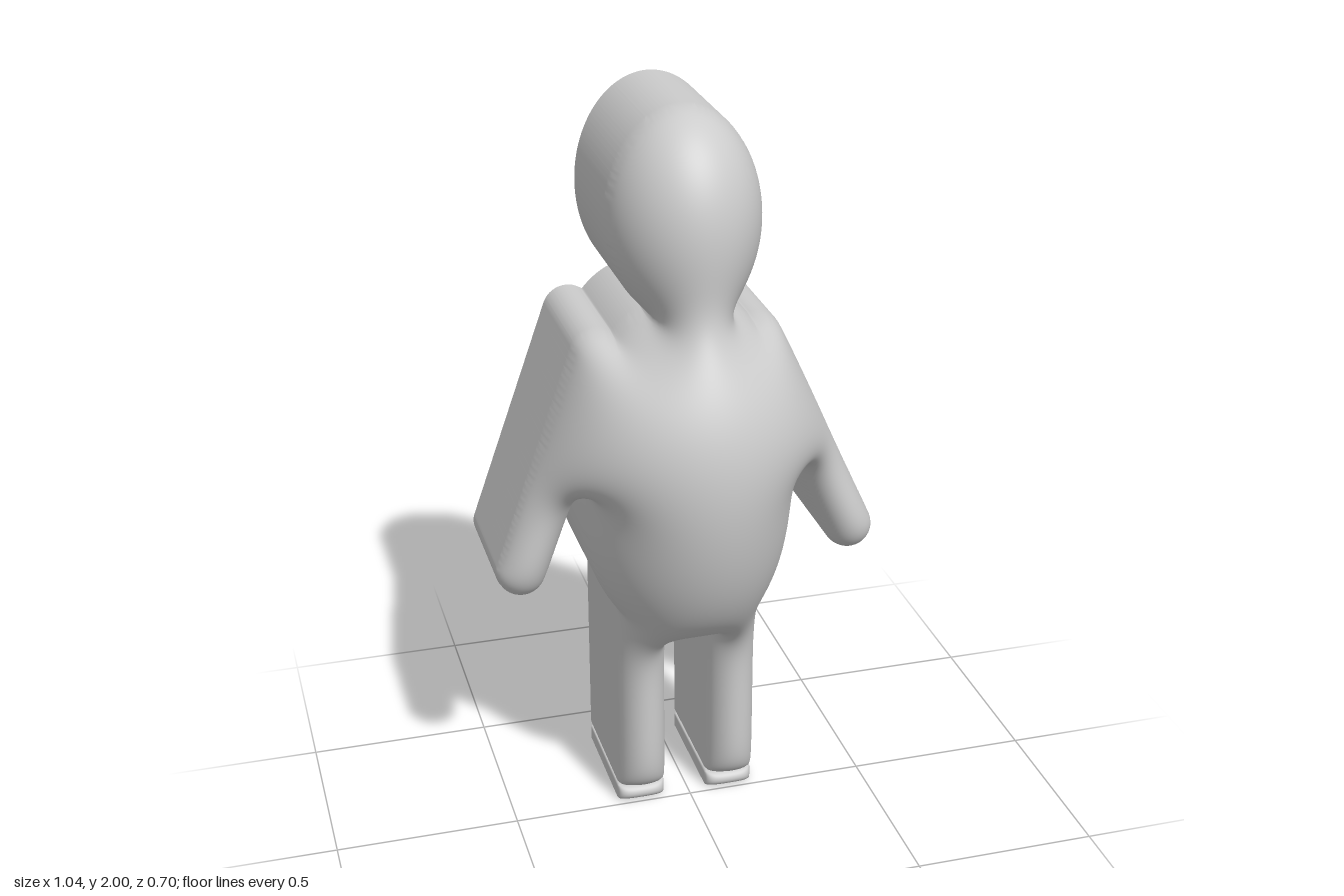
import * as THREE from 'three';

const BACK = -0.35;   // flat back plane
const RIM = -0.035;   // where the straight sides end and the puffed front begins

// 2D outline fields: negative inside, positive outside
const oval = (cx, cy, rx, ry, n) => (x, y) =>
  ((Math.abs((x - cx) / rx) ** n + Math.abs((y - cy) / ry) ** n) ** (1 / n) - 1) * rx;
const capsule = (ax, ay, bx, by, r) => (x, y) => {
  const dx = bx - ax, dy = by - ay;
  const t = THREE.MathUtils.clamp(((x - ax) * dx + (y - ay) * dy) / (dx * dx + dy * dy), 0, 1);
  return Math.hypot(x - ax - t * dx, y - ay - t * dy) - r;
};
const box = (cx, cy, hx, hy, r) => (x, y) => {
  const qx = Math.abs(x - cx) - hx + r, qy = Math.abs(y - cy) - hy + r;
  return Math.hypot(Math.max(qx, 0), Math.max(qy, 0)) + Math.min(Math.max(qx, qy), 0) - r;
};
const union = (...fields) => (x, y) => Math.min(...fields.map((f) => f(x, y)));

// Puffs an outline up like a balloon (height = root of a relaxed membrane),
// with straight sides and a flat back.
function inflate(field, [x0, y0, x1, y1], step, bulge) {
  const nx = Math.ceil((x1 - x0) / step) + 1, ny = Math.ceil((y1 - y0) / step) + 1;
  const px = (k) => x0 + (k % nx) * step, py = (k) => y0 + Math.floor(k / nx) * step;
  const d = new Float64Array(nx * ny), u = new Float64Array(nx * ny);
  for (let k = 0; k < d.length; k++) d[k] = field(px(k), py(k)) + 1e-7;

  // Membrane equation, with exact distances to the outline at its border
  const nodes = [];
  for (let k = 0; k < d.length; k++) {
    if (d[k] >= 0) continue;
    const near = [k - 1, k + 1, k - nx, k + nx];
    const len = near.map((n) => (d[n] < 0 ? 1 : Math.max(0.02, d[k] / (d[k] - d[n]))));
    const w = len.map((l, i) => 2 / (l * (l + len[i ^ 1])));
    nodes.push({ k, near, w, sum: w[0] + w[1] + w[2] + w[3] });
  }
  const omega = 2 / (1 + Math.sin(Math.PI / Math.min(140, nx + ny)));
  for (let pass = 0; pass < 600; pass++) {
    for (const { k, near, w, sum } of nodes) {
      let s = step * step;
      for (let i = 0; i < 4; i++) if (d[near[i]] < 0) s += w[i] * u[near[i]];
      u[k] += omega * (s / sum - u[k]);
    }
  }
  let peak = 0;
  for (const v of u) peak = Math.max(peak, v);

  const pos = [], index = [], cache = new Map();
  const vertex = (key, x, y, z) => {
    if (!cache.has(key)) {
      cache.set(key, pos.length / 3);
      pos.push(x, y, z);
    }
    return cache.get(key);
  };
  // A point is a grid node or the spot where a grid edge crosses the outline
  const node = (k) => ({
    key: `${k}`, x: px(k), y: py(k), z: RIM + bulge * Math.sqrt(Math.max(0, u[k]) / peak), rim: false });
  const crossing = (p, q) => {
    const a = Math.min(p, q), b = Math.max(p, q), t = d[a] / (d[a] - d[b]);
    return { key: `${a}_${b}`, x: px(a) + t * (px(b) - px(a)), y: py(a) + t * (py(b) - py(a)), z: RIM, rim: true };
  };
  const front = (p) => vertex('f' + p.key, p.x, p.y, p.z);
  const side = (p) => vertex('s' + p.key, p.x, p.y, BACK);
  const back = (p) => vertex('b' + p.key, p.x, p.y, BACK);

  const addTriangle = (tri) => {
    const poly = [];
    tri.forEach((a, i) => {
      const b = tri[(i + 1) % 3];
      if (d[a] < 0) poly.push(node(a));
      if (d[a] < 0 !== d[b] < 0) poly.push(crossing(a, b));
    });
    for (let i = 1; i + 1 < poly.length; i++) {
      index.push(front(poly[0]), front(poly[i]), front(poly[i + 1]));
      index.push(back(poly[0]), back(poly[i + 1]), back(poly[i]));
    }
    // Side wall below each piece of the outline
    poly.forEach((p, i) => {
      const q = poly[(i + 1) % poly.length];
      if (p.rim && q.rim) index.push(front(p), side(p), side(q), front(p), side(q), front(q));
    });
  };
  for (let j = 0; j + 1 < ny; j++) {
    for (let i = 0; i + 1 < nx; i++) {
      const a = j * nx + i, b = a + 1, c = b + nx, e = a + nx;
      addTriangle([a, b, c]);
      addTriangle([a, c, e]);
    }
  }
  const geometry = new THREE.BufferGeometry();
  geometry.setAttribute('position', new THREE.Float32BufferAttribute(pos, 3));
  geometry.setIndex(index);
  geometry.computeVertexNormals();
  return geometry;
}

export function createModel() {
  const group = new THREE.Group();
  const material = new THREE.MeshStandardMaterial({ color: 0xcccccc });
  const add = (name, geometry) => {
    const mesh = new THREE.Mesh(geometry, material);
    mesh.name = name;
    group.add(mesh);
  };
  const legs = { rightFoot: -0.1375, leftFoot: 0.1175 };

  // Head, torso, arms and legs flow into one puffed surface
  const figure = union(
    oval(-0.015, 1.72, 0.2, 0.28, 2),                 // head
    oval(-0.015, 1.025, 0.28, 0.475, 2.5),            // torso
    capsule(-0.245, 1.37, -0.458, 0.77, 0.066),       // right arm
    capsule(0.185, 1.37, 0.455, 0.786, 0.066),        // left arm
    ...Object.values(legs).map((x) => box(x, 0.4, 0.0675, 0.35, 0.015)),
  );
  add('body', inflate(figure, [-0.56, 0.02, 0.56, 2.03], 0.0065, 0.385));

  // Thin feet under the legs
  for (const [name, x] of Object.entries(legs)) {
    const foot = box(x, 0.024, 0.0675, 0.024, 0.006);
    add(name, inflate(foot, [x - 0.08, -0.012, x + 0.08, 0.06], 0.003, 0.035));
  }
  return group;
}
